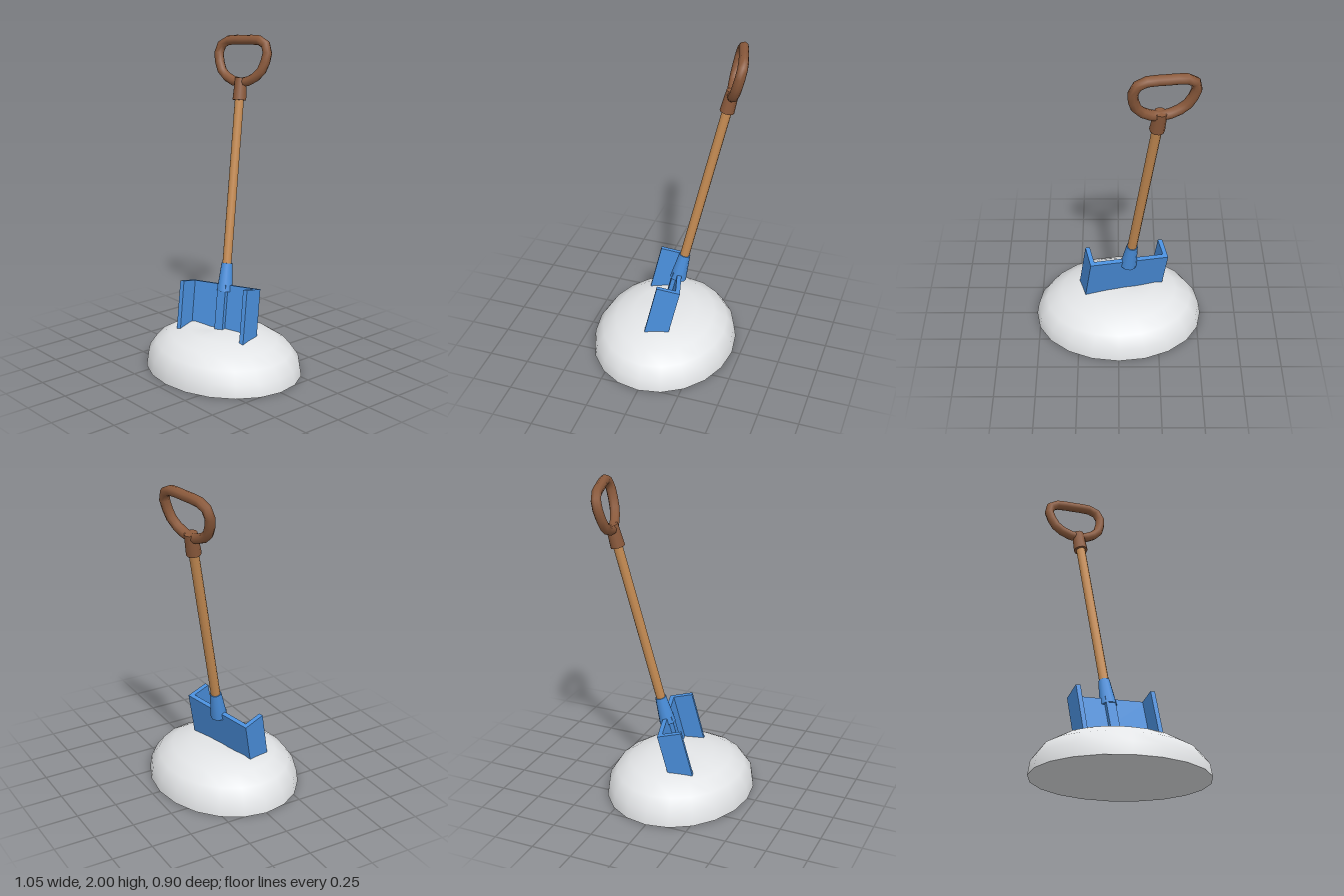
import * as THREE from 'three';
import { mergeVertices } from 'three/addons/utils/BufferGeometryUtils.js';

const material = (name, color) => {
  const m = new THREE.MeshStandardMaterial({ color });
  m.name = name;
  return m;
};

export function createModel() {
  const model = new THREE.Group();
  model.name = 'shovelInSnow';
  const snow = material('snow white', 0xeceef0);
  const blue = material('blade blue', 0x4a8fdc);
  const wood = material('shaft wood', 0xc68c53);
  const brown = material('grip brown', 0x8b5a3c);

  const add = (parent, name, geometry, mat, x = 0, y = 0, z = 0) => {
    const mesh = new THREE.Mesh(geometry, mat);
    mesh.name = name;
    mesh.position.set(x, y, z);
    parent.add(mesh);
    return mesh;
  };

  // Snow mound: squashed dome, slightly higher on its right, with a soft dent before the blade
  const profile = [[1, 0], [0.975, 0.08], [0.87, 0.152], [0.69, 0.206], [0.44, 0.24], [0.2, 0.246], [0, 0.244]]
    .map(([r, y]) => new THREE.Vector2(r, y));
  let dome = new THREE.LatheGeometry(profile, 20);
  dome.scale(0.527, 1, 0.448);
  const p = dome.attributes.position;
  for (let i = 0; i < p.count; i++) {
    const x = p.getX(i), y = p.getY(i), z = p.getZ(i);
    const dent = 0.022 * Math.exp(-((x + 0.12) ** 2 + (z - 0.06) ** 2) / 0.008);
    p.setY(i, y * (1 - 0.12 * x - (y > 0 ? dent / 0.25 : 0)));
  }
  dome.deleteAttribute('uv');
  dome.deleteAttribute('normal');
  dome = mergeVertices(dome, 1e-4);
  dome.computeVertexNormals();
  add(model, 'snowMound', dome, snow);
  const base = add(model, 'snowBase', new THREE.CircleGeometry(1, 20), snow);
  base.rotation.x = Math.PI / 2;
  base.scale.set(0.527, 0.448, 1);

  // Leaning shovel: local y runs up the shaft, local z is the hollow side of the blade
  const shovel = new THREE.Group();
  shovel.name = 'shovel';
  const up = new THREE.Vector3(-0.13, 1, -0.21).normalize();
  const front = new THREE.Vector3(0.963, 0.07, -0.26).cross(up).normalize();
  const side = up.clone().cross(front);
  shovel.quaternion.setFromRotationMatrix(new THREE.Matrix4().makeBasis(side, up, front));
  shovel.position.set(-0.083, 0.63, -0.1);
  model.add(shovel);

  // Blade: back plate, two side walls and a centre rib, sunk into the snow
  const top = -0.134, height = 0.34, mid = top - height / 2;
  add(shovel, 'bladePlate', new THREE.BoxGeometry(0.496, height, 0.028), blue, 0, mid, 0);
  for (const s of [-1, 1]) {
    add(shovel, s < 0 ? 'rightWall' : 'leftWall',
      new THREE.BoxGeometry(0.028, height, 0.146), blue, s * 0.236, mid, 0.059);
  }
  add(shovel, 'bladeRib', new THREE.BoxGeometry(0.06, height, 0.036), blue, 0, mid, 0.022);
  add(shovel, 'bladeSocket', new THREE.CylinderGeometry(0.035, 0.051, 0.175, 10), blue, 0, -0.0875, 0);

  // Shaft and grip collar
  add(shovel, 'shaft', new THREE.CylinderGeometry(0.029, 0.029, 1.12, 10), wood, 0, 0.5, 0);
  add(shovel, 'gripCollar', new THREE.CylinderGeometry(0.038, 0.044, 0.135, 10), brown, 0, 1.075, 0);

  // D-shaped grip: closed tube through a mirrored outline
  const half = [[0.07, 1.132], [0.138, 1.178], [0.172, 1.255], [0.177, 1.32], [0.14, 1.367]];
  const outline = [[0, 1.115], ...half, [0, 1.378], ...half.map(([x, y]) => [-x, y]).reverse()]
    .map(([x, y]) => new THREE.Vector3(x, y, 0));
  const path = new THREE.CatmullRomCurve3(outline, true);
  add(shovel, 'grip', new THREE.TubeGeometry(path, 18, 0.03, 8, true), brown);

  return model;
}
